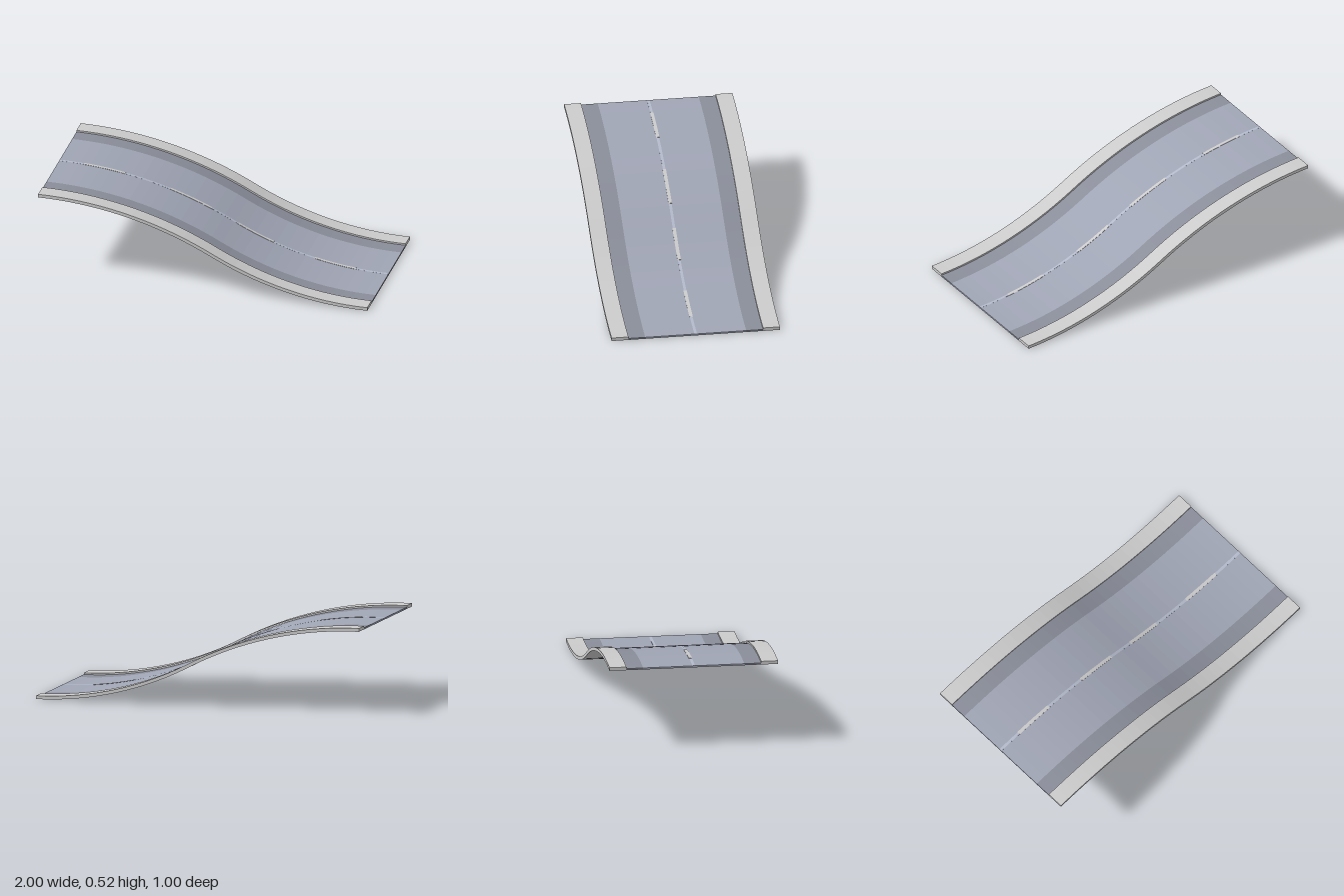
import * as THREE from 'three';

// Side profile: a crest arc running tangentially into a valley arc
const JOIN = 0.05;
const ANGLE = 2 * Math.atan(0.25);
const R_CREST = (1 + JOIN) / Math.sin(ANGLE);
const R_VALLEY = (1 - JOIN) / Math.sin(ANGLE);

// Point at height h above the underside, measured along its normal
function onSlope(x, h) {
  const crest = x < JOIN;
  const a = Math.asin(crest ? (x + 1) / R_CREST : (1 - x) / R_VALLEY);
  const y = crest ? 0.5 - R_CREST * (1 - Math.cos(a)) : R_VALLEY * (1 - Math.cos(a));
  return [x + h * Math.sin(a), y + h * Math.cos(a)];
}

// Bends a box along the slope; faces numbered +x -x +y -y +z -z can be left out
function bentStrip(name, color, [x0, x1], [h0, h1], [z0, z1], omit = []) {
  const segments = Math.max(2, Math.round((x1 - x0) * 16));
  const geo = new THREE.BoxGeometry(x1 - x0, h1 - h0, z1 - z0, segments, 1, 1);
  geo.translate((x0 + x1) / 2, (h0 + h1) / 2, (z0 + z1) / 2);
  const pos = geo.attributes.position;
  for (let i = 0; i < pos.count; i++) {
    const x = THREE.MathUtils.clamp(pos.getX(i), -1, 1);
    const [px, py] = onSlope(x, pos.getY(i));
    pos.setXY(i, px, py);
  }
  const index = Array.from(geo.index.array);
  const kept = geo.groups
    .filter((g, i) => !omit.includes(i))
    .flatMap((g) => index.slice(g.start, g.start + g.count));
  geo.setIndex(kept);
  geo.clearGroups();
  geo.computeVertexNormals();
  const mesh = new THREE.Mesh(geo, new THREE.MeshStandardMaterial({ color, flatShading: true }));
  mesh.name = name;
  return mesh;
}

export function createModel() {
  const group = new THREE.Group();
  group.name = 'slopedRoad';
  const full = [-1, 1];

  // Carriageway
  group.add(bentStrip('roadway', 0xa0a5b5, full, [0, 0.01], [-0.3, 0.3], [4, 5]));

  // Darker gutters and raised kerbs on both sides
  for (const [side, s] of [['front', 1], ['back', -1]]) {
    const span = (a, b) => (s > 0 ? [a, b] : [-b, -a]);
    group.add(bentStrip(side + 'Gutter', 0x8a8e9a, full, [0, 0.01], span(0.3, 0.4), [4, 5]));
    group.add(bentStrip(side + 'Kerb', 0xcccccc, full, [0, 0.02], span(0.4, 0.5)));
  }

  // Centre line: pale base with raised dashes
  group.add(bentStrip('centreLine', 0xb4bacb, full, [0.01, 0.0104], [-0.008, 0.008], [3]));
  const dashes = [[-0.85, -0.6], [-0.33, -0.08], [0.08, 0.3], [0.55, 0.8]];
  dashes.forEach((range, i) => {
    group.add(bentStrip('dash' + (i + 1), 0xcccccc, range, [0.01, 0.0115], [-0.01, 0.01], [3]));
  });

  return group;
}
